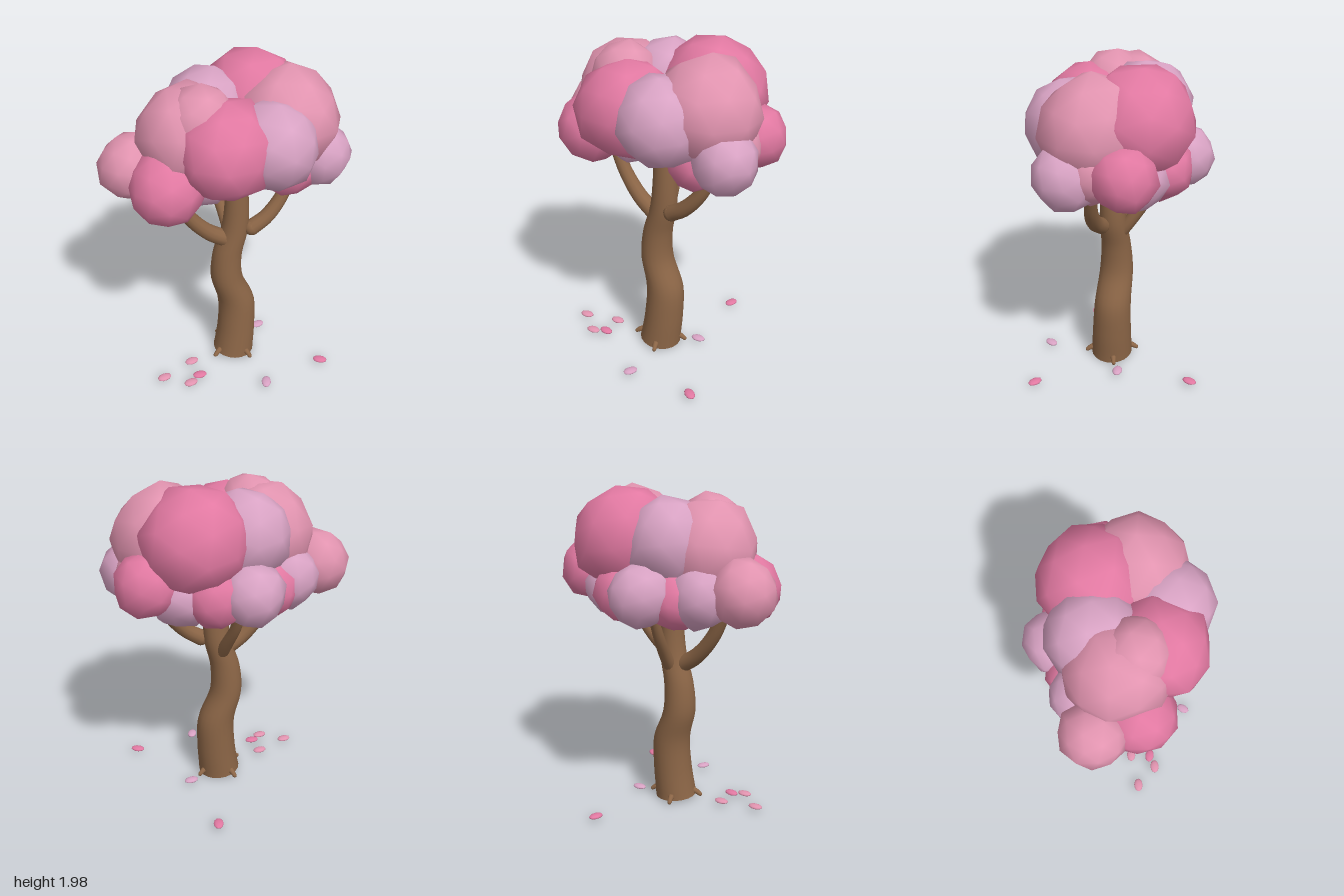
import * as THREE from 'three';
import { mergeVertices } from 'three/addons/utils/BufferGeometryUtils.js';

const mat = (name, color) => {
  const m = new THREE.MeshStandardMaterial({ color });
  m.name = name;
  return m;
};

// Small seeded generator for the uneven blossom clumps
function seeded(seed) {
  let s = seed;
  return () => (s = (s * 16807) % 2147483647) / 2147483647;
}

// Low-poly ball with smooth normals and slightly uneven vertices
function clumpGeometry(r, seed, jitter) {
  const base = new THREE.IcosahedronGeometry(1, 1);
  base.deleteAttribute('normal');
  base.deleteAttribute('uv');
  const g = mergeVertices(base, 1e-3);
  const rand = seeded(seed);
  for (let i = 0; i < 5; i++) rand();
  g.rotateY(rand() * 6);
  g.rotateX(rand() * 6);
  const p = g.attributes.position;
  for (let i = 0; i < p.count; i++) {
    const k = r * (1.03 + (rand() - 0.5) * jitter);
    p.setXYZ(i, p.getX(i) * k, p.getY(i) * k, p.getZ(i) * k);
  }
  g.computeVertexNormals();
  return g;
}

// Horizontal elliptical rings [x, y, z, rx, rz], smoothed along a spline
function trunkGeometry(keys, rows, sides) {
  const centre = new THREE.CatmullRomCurve3(keys.map(k => new THREE.Vector3(k[0], k[1], k[2])));
  const radius = new THREE.CatmullRomCurve3(keys.map(k => new THREE.Vector3(k[3], k[4], 0)));
  const pos = [], index = [];
  for (let i = 0; i <= rows; i++) {
    const c = centre.getPoint(i / rows), r = radius.getPoint(i / rows);
    const tilt = i === 0 ? -0.012 : 0;
    for (let j = 0; j < sides; j++) {
      const a = (j / sides) * Math.PI * 2;
      pos.push(c.x + r.x * Math.cos(a), c.y + tilt * Math.cos(a), c.z + r.y * Math.sin(a));
      if (i < rows) {
        const k = (j + 1) % sides, o = i * sides;
        index.push(o + j, o + sides + j, o + k, o + k, o + sides + j, o + sides + k);
      }
    }
  }
  // Flat cap underneath, with its own vertices for a hard edge
  const start = pos.length / 3;
  pos.push(...pos.slice(0, sides * 3));
  for (let j = 1; j < sides - 1; j++) index.push(start, start + j, start + j + 1);
  const g = new THREE.BufferGeometry();
  g.setAttribute('position', new THREE.Float32BufferAttribute(pos, 3));
  g.setIndex(index);
  g.computeVertexNormals();
  return g;
}

// Tube narrowing from r0 to r1
function taperedTube(points, r0, r1) {
  const curve = new THREE.CatmullRomCurve3(points.map(p => new THREE.Vector3(...p)));
  const segs = 14, sides = 12;
  const g = new THREE.TubeGeometry(curve, segs, 1, sides, false);
  const p = g.attributes.position, v = new THREE.Vector3();
  for (let i = 0; i < p.count; i++) {
    const t = Math.floor(i / (sides + 1)) / segs;
    const c = curve.getPointAt(t);
    v.fromBufferAttribute(p, i).sub(c).multiplyScalar(r0 + (r1 - r0) * t).add(c);
    p.setXYZ(i, v.x, v.y, v.z);
  }
  return g;
}

export function createModel() {
  const tree = new THREE.Group();
  tree.name = 'blossomTree';
  const bark = mat('bark brown', 0x8b6546);
  const deep = mat('deep pink', 0xe279a2);
  const mid = mat('soft pink', 0xe294b0);
  const lilac = mat('pale lilac pink', 0xd9a3c4);

  const add = (name, geometry, material, parent = tree) => {
    const m = new THREE.Mesh(geometry, material);
    m.name = name;
    parent.add(m);
    return m;
  };

  // Trunk
  add('trunk', trunkGeometry([
    [0.04, 0.02, 0.07, 0.13, 0.13],
    [0.062, 0.22, 0.062, 0.121, 0.121],
    [0.062, 0.42, 0.054, 0.115, 0.113],
    [0.0, 0.62, 0.047, 0.098, 0.103],
    [0.005, 0.80, 0.047, 0.09, 0.09],
    [0.05, 0.98, 0.052, 0.082, 0.08],
    [0.06, 1.2, 0.055, 0.07, 0.066],
    [0.047, 1.5, 0.05, 0.058, 0.056],
  ], 36, 20), bark);

  // Branches, each with a rounded foot
  const branches = [
    ['rightBranch', [[0.0, 0.91, 0.055], [-0.12, 0.99, 0.05], [-0.24, 1.13, 0.04], [-0.34, 1.33, 0.03]], 0.053, 0.036],
    ['leftBranch', [[0.14, 0.985, 0.1], [0.23, 1.045, 0.108], [0.33, 1.16, 0.098], [0.41, 1.33, 0.07]], 0.05, 0.034],
    ['backBranch', [[0.04, 0.89, 0.02], [0.03, 1.0, -0.06], [0.01, 1.14, -0.15], [0.0, 1.33, -0.23]], 0.042, 0.027],
  ];
  for (const [name, pts, r0, r1] of branches) {
    add(name, taperedTube(pts, r0, r1), bark);
    add(name + 'Foot', new THREE.SphereGeometry(r0, 12, 8), bark).position.set(...pts[0]);
  }

  // Root nubs around the foot of the trunk
  for (let i = 0; i < 4; i++) {
    const a = ((70 + i * 90) * Math.PI) / 180;
    const at = (d, y) => [0.04 + Math.cos(a) * d, y, 0.07 + Math.sin(a) * d];
    add('root', taperedTube([at(0.1, 0.06), at(0.135, 0.047), at(0.16, 0.03)], 0.022, 0.013), bark);
    add('rootTip', new THREE.SphereGeometry(0.013, 8, 6), bark).position.set(...at(0.16, 0.03));
  }

  // Blossom clumps: x, y, z, radius, colour
  const canopy = new THREE.Group();
  canopy.name = 'canopy';
  tree.add(canopy);
  [
    [-0.515, 1.46, -0.09, 0.185, mid],
    [-0.39, 1.42, 0.14, 0.21, deep],
    [-0.21, 1.64, 0.02, 0.29, mid],
    [-0.08, 1.63, 0.22, 0.275, deep],
    [0.18, 1.62, 0.255, 0.25, lilac],
    [0.35, 1.665, 0.07, 0.29, mid],
    [0.24, 1.69, -0.15, 0.3, deep],
    [-0.05, 1.69, -0.13, 0.25, lilac],
    [-0.01, 1.42, -0.335, 0.18, lilac],
    [0.515, 1.48, -0.14, 0.18, deep],
    [0.515, 1.45, 0.17, 0.18, lilac],
    [-0.3, 1.42, -0.17, 0.175, lilac],
    [-0.17, 1.75, 0.1, 0.2, mid],
    [-0.15, 1.42, 0.07, 0.18, lilac],
    [0.33, 1.4, 0.14, 0.17, deep],
    [0.33, 1.4, -0.15, 0.18, lilac],
    [0.17, 1.41, -0.26, 0.175, deep],
    [-0.16, 1.39, -0.21, 0.165, deep],
    [0.06, 1.44, 0.04, 0.18, lilac],
    [0.47, 1.48, 0.03, 0.17, mid],
  ].forEach(([x, y, z, r, m], i) => {
    add('blossomClump', clumpGeometry(r, 1234 + i * 7919, 0.12), m, canopy).position.set(x, y, z);
  });

  // Fallen petals: x, z, turn, colour
  const petals = new THREE.Group();
  petals.name = 'fallenPetals';
  tree.add(petals);
  const petalGeometry = clumpGeometry(1, 77, 0);
  [
    [-0.485, 0.185, 0.1, mid],
    [-0.275, 0.12, 0.1, mid],
    [-0.345, 0.29, 0.1, mid],
    [-0.27, 0.25, -0.1, deep],
    [0.095, 0.47, 1.1, lilac],
    [0.265, -0.03, 0.1, lilac],
    [0.5, 0.43, -0.6, deep],
    [0.245, -0.485, 1.25, deep],
  ].forEach(([x, z, turn, m]) => {
    const p = add('petal', petalGeometry, m, petals);
    p.position.set(x, 0.037, z);
    p.scale.set(0.044, 0.013, 0.029);
    p.rotation.y = turn;
  });

  return tree;
}
